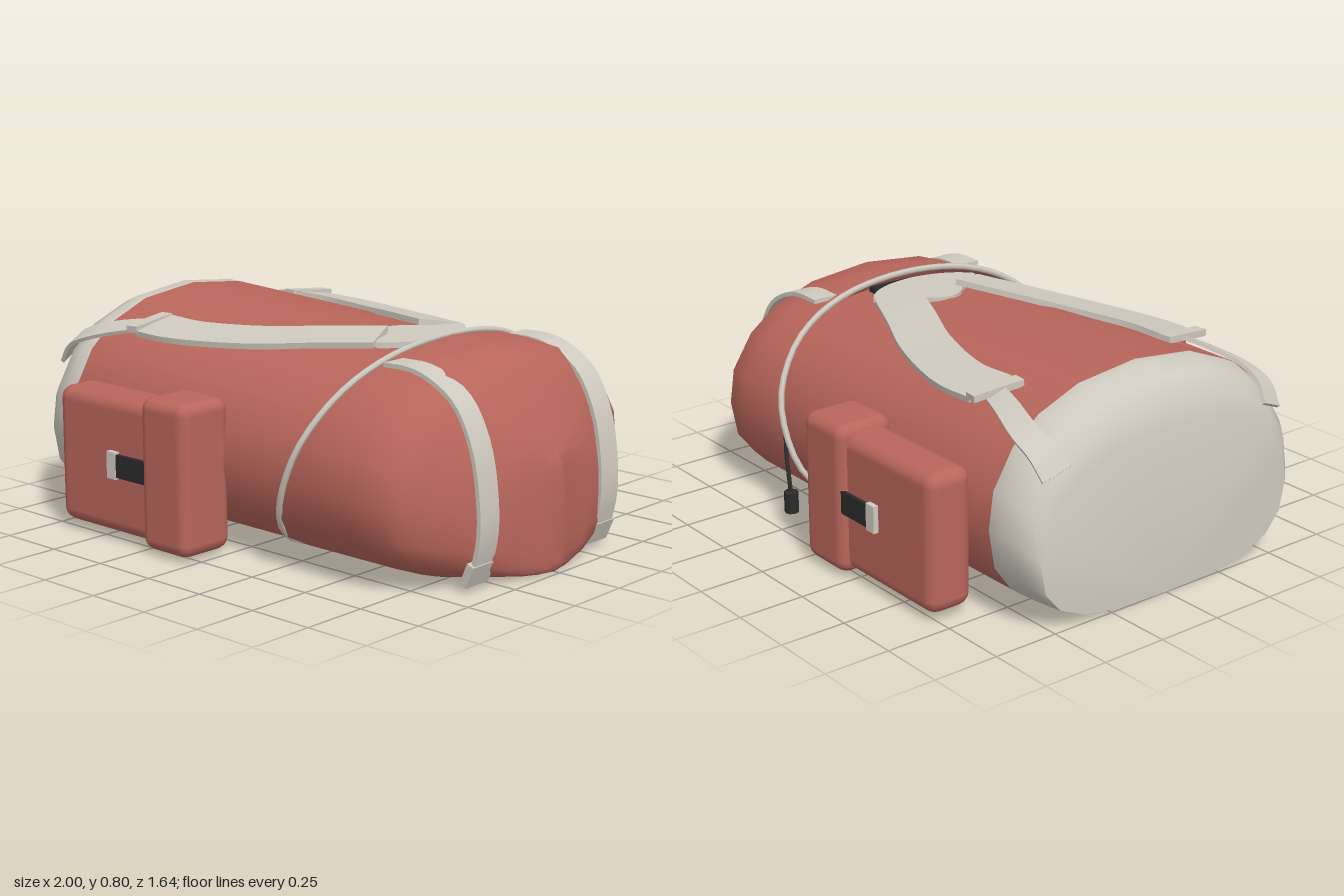
import * as THREE from 'three';
import { toCreasedNormals } from 'three/addons/utils/BufferGeometryUtils.js';
import { RoundedBoxGeometry } from 'three/addons/geometries/RoundedBoxGeometry.js';

const make = (name, color) => {
  const m = new THREE.MeshStandardMaterial({ color });
  m.name = name;
  return m;
};

// half cross-section of the bag (z, y), normalised, bottom to top
const HALF = [[0, 0], [0.4, 0.01], [0.66, 0.05], [0.85, 0.13], [0.96, 0.25], [1, 0.43],
  [0.97, 0.6], [0.84, 0.77], [0.67, 0.88], [0.4, 0.965], [0, 1]];
const SECTION = [...HALF, ...HALF.slice(1, -1).reverse().map(([z, y]) => [-z, y])];

const ring = (x, halfWidth, top, bottom = 0) => SECTION.map(([z, y]) =>
  new THREE.Vector3(x, bottom + y * (top - bottom), z * halfWidth));

// skin over a row of rings, with optional end caps
function loft(rings, crease, capStart = true, capEnd = true) {
  const n = rings[0].length, pos = [], index = [];
  rings.forEach(r => r.forEach(p => pos.push(p.x, p.y, p.z)));
  for (let i = 0; i < rings.length - 1; i++) for (let j = 0; j < n; j++) {
    const a = i * n + j, b = i * n + (j + 1) % n, c = a + n, d = b + n;
    index.push(a, c, b, b, c, d);
  }
  const cap = (start, flip) => {
    for (let j = 1; j < n - 1; j++) {
      index.push(start, start + (flip ? j + 1 : j), start + (flip ? j : j + 1));
    }
  };
  if (capStart) cap(0, false);
  if (capEnd) cap((rings.length - 1) * n, true);
  const g = new THREE.BufferGeometry();
  g.setAttribute('position', new THREE.Float32BufferAttribute(pos, 3));
  g.setIndex(index);
  return toCreasedNormals(g, crease);
}

// flat webbing along a path, lying across the direction "up"
function band(points, up, w0, w1, thick, steps = 14) {
  const curve = new THREE.CatmullRomCurve3(points.map(p => new THREE.Vector3(...p)));
  const rings = [];
  for (let i = 0; i <= steps; i++) {
    const t = i / steps, p = curve.getPoint(t), dir = curve.getTangent(t);
    const side = dir.clone().cross(new THREE.Vector3(...up)).normalize();
    const normal = side.clone().cross(dir).normalize();
    const w = (w0 + (w1 - w0) * t) / 2, h = thick / 2;
    rings.push([[-1, -1], [1, -1], [1, 1], [-1, 1]].map(([a, b]) =>
      p.clone().addScaledVector(side, a * w).addScaledVector(normal, b * h)));
  }
  return loft(rings, 0.6);
}

export function createModel() {
  const group = new THREE.Group();
  group.name = 'backpack';
  const red = make('red fabric', 0xb9665b);
  const grey = make('pale grey webbing', 0xcfcabf);
  const black = make('black trim', 0x2b2b2b);
  const lidRed = red;
  lidRed.side = THREE.DoubleSide;

  const add = (name, geometry, material, x = 0, y = 0, z = 0) => {
    const mesh = new THREE.Mesh(geometry, material);
    mesh.name = name;
    mesh.position.set(x, y, z);
    group.add(mesh);
    return mesh;
  };

  // main sack and its rounded base
  add('base', loft([ring(-1, 0.565, 0.62), ring(-0.975, 0.59, 0.7), ring(-0.93, 0.615, 0.77),
    ring(-0.86, 0.63, 0.802), ring(-0.81, 0.63, 0.8)], 0.7, true, false), grey);
  add('sack', loft([ring(-0.81, 0.63, 0.8), ring(-0.4, 0.63, 0.78), ring(0.1, 0.63, 0.755),
    ring(0.55, 0.63, 0.73, 0.01)], 0.8, false, true), red);

  // lid with a slanted opening
  const rim = ring(0, 0.665, 0.772);
  rim.forEach(p => { p.x = 0.2 + 0.3 * p.y / 0.772; });
  add('lid', loft([rim, ring(0.63, 0.665, 0.766), ring(0.74, 0.645, 0.755), ring(0.79, 0.61, 0.725),
    ring(0.83, 0.55, 0.685), ring(0.9, 0.42, 0.57), ring(0.94, 0.32, 0.49), ring(0.965, 0.2, 0.445),
    ring(0.975, 0.07, 0.42), ring(1, 0.01, 0.4, 0.03)], 1.0, false, true), red);
  const rimCurve = new THREE.CatmullRomCurve3(rim.map(p =>
    new THREE.Vector3(p.x, 0.013 + p.y * 0.985, p.z * 1.005)), true);
  add('lidTrim', new THREE.TubeGeometry(rimCurve, 60, 0.012, 6, true), grey);

  // yoke joining the shoulder straps
  const yoke = new THREE.Shape();
  yoke.moveTo(0.36, -0.24);
  yoke.quadraticCurveTo(0.46, -0.17, 0.47, 0);
  yoke.quadraticCurveTo(0.46, 0.17, 0.36, 0.24);
  yoke.lineTo(0.26, 0.1);
  yoke.quadraticCurveTo(0.14, 0, 0.26, -0.1);
  yoke.closePath();
  const yokeGeometry = new THREE.ExtrudeGeometry(yoke, { depth: 0.02, bevelEnabled: false });
  yokeGeometry.rotateX(-Math.PI / 2);
  add('yoke', yokeGeometry, grey, 0, 0.738, 0);
  add('grabLoop', new THREE.BoxGeometry(0.04, 0.02, 0.18), black, 0.465, 0.745, -0.08);

  for (const s of [1, -1]) {
    const side = s > 0 ? 'left' : 'right';

    // shoulder strap: pad, buckle and lower webbing
    add(side + 'ShoulderPad', band([[-0.57, 0.722, s * 0.43], [-0.4, 0.719, s * 0.43],
      [-0.1, 0.728, s * 0.345], [0.1, 0.745, s * 0.255], [0.315, 0.76, s * 0.163]],
    [0, 1, s * 0.18], 0.19, 0.175, 0.022), grey);
    add(side + 'StrapBuckle', new THREE.BoxGeometry(0.05, 0.025, 0.2), grey, -0.595, 0.73, s * 0.43)
      .rotation.set(s * 0.1, s * 0.1, 0);
    add(side + 'LowerStrap', band([[-0.58, 0.722, s * 0.43], [-0.7, 0.705, s * 0.465],
      [-0.84, 0.67, s * 0.505], [-0.93, 0.63, s * 0.505], [-0.985, 0.565, s * 0.49]],
    [-0.1, 1, s * 0.45], 0.075, 0.11, 0.014), grey);

    // strap running over the lid
    add(side + 'LidStrap', band([[0.53, 0.728, s * 0.34], [0.65, 0.727, s * 0.34], [0.75, 0.695, s * 0.34],
      [0.84, 0.632, s * 0.34], [0.912, 0.5, s * 0.34], [0.945, 0.34, s * 0.34],
      [0.95, 0.2, s * 0.34], [0.925, 0.08, s * 0.34]], [0.7, 0.4, 0], 0.1, 0.1, 0.016, 20), grey);
    add(side + 'LidBuckle', new THREE.BoxGeometry(0.03, 0.085, 0.12), grey, 0.91, 0.063, s * 0.34)
      .rotation.z = -0.4;

    // side pocket with its flap and fastener
    add(side + 'Pocket', new RoundedBoxGeometry(0.53, 0.51, 0.18, 2, 0.05), red, -0.445, 0.283, s * 0.7);
    add(side + 'PocketFlap', new RoundedBoxGeometry(0.235, 0.555, 0.23, 2, 0.045), red, -0.123, 0.292, s * 0.705);
    add(side + 'PocketStrap', new THREE.BoxGeometry(0.18, 0.085, 0.014), black, -0.31, 0.292, s * 0.803);
    add(side + 'PocketBuckle', new THREE.BoxGeometry(0.045, 0.1, 0.02), grey, -0.395, 0.292, s * 0.803);
  }

  // hanging drawcord with a toggle
  const cord = new THREE.CatmullRomCurve3([[0.35, 0.31, -0.655], [0.31, 0.25, -0.68],
    [0.27, 0.2, -0.7], [0.25, 0.12, -0.705]].map(p => new THREE.Vector3(...p)));
  add('drawcord', new THREE.TubeGeometry(cord, 10, 0.009, 6), black);
  add('cordToggle', toCreasedNormals(new THREE.CylinderGeometry(0.027, 0.027, 0.08, 8), 0.5),
    black, 0.25, 0.1, -0.705);

  return group;
}
